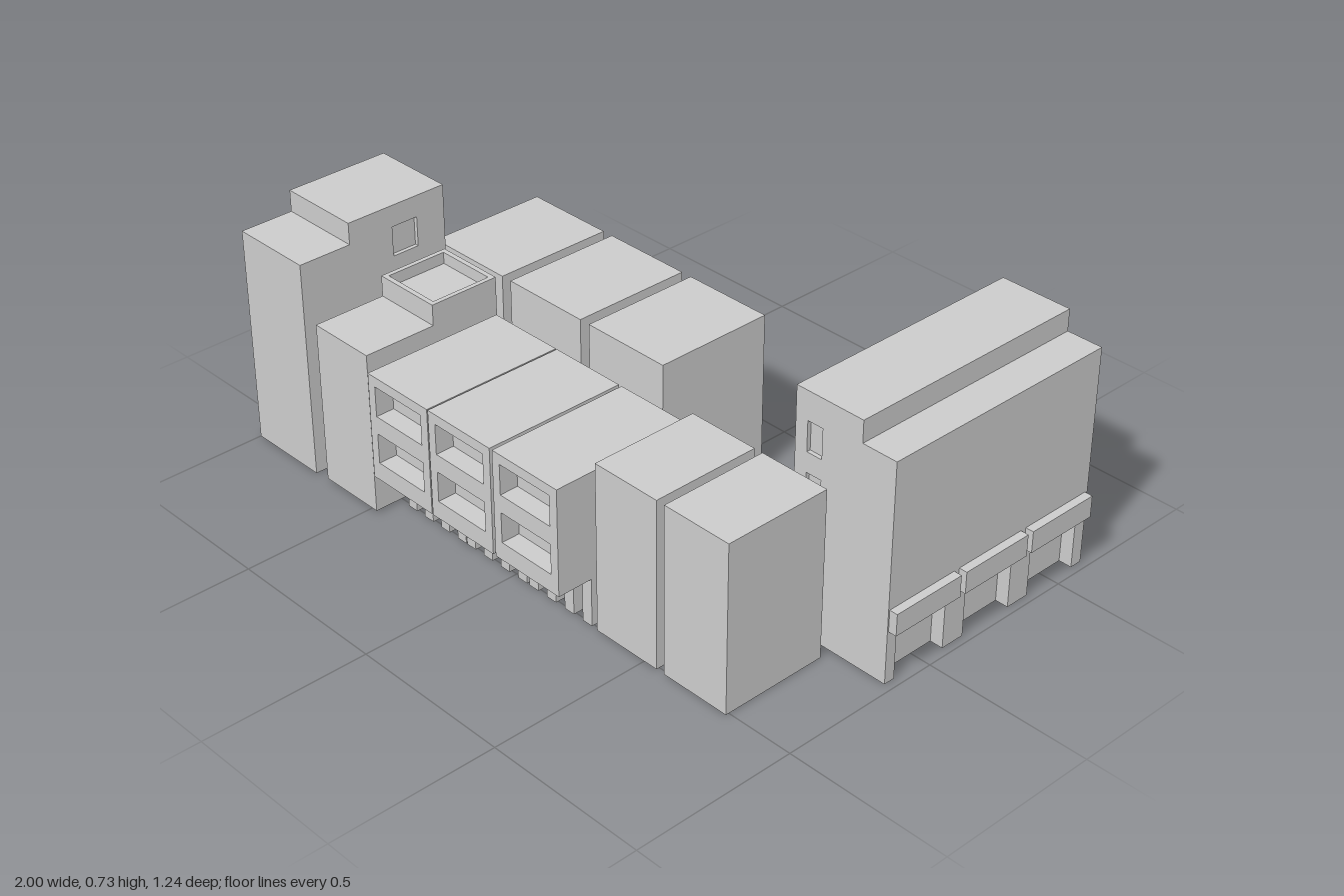
import * as THREE from 'three';

const material = new THREE.MeshStandardMaterial({ color: 0xcccccc, flatShading: true });

// Box given by its limits on each axis
function box(parent, name, [x0, x1], [y0, y1], [z0, z1]) {
  const mesh = new THREE.Mesh(new THREE.BoxGeometry(x1 - x0, y1 - y0, z1 - z0), material);
  mesh.position.set((x0 + x1) / 2, (y0 + y1) / 2, (z0 + z1) / 2);
  mesh.name = name;
  parent.add(mesh);
  return mesh;
}

// Outline with rectangular openings [a0, a1, b0, b1], extruded from d0 to d1
function slab(parent, name, points, openings, d0, d1) {
  const shape = new THREE.Shape(points.map(p => new THREE.Vector2(...p)));
  for (const [a0, a1, b0, b1] of openings) {
    shape.holes.push(new THREE.Path([[a0, b0], [a0, b1], [a1, b1], [a1, b0]].map(p => new THREE.Vector2(...p))));
  }
  const geometry = new THREE.ExtrudeGeometry(shape, { depth: d1 - d0, bevelEnabled: false });
  const mesh = new THREE.Mesh(geometry.translate(0, 0, d0), material);
  mesh.name = name;
  parent.add(mesh);
  return mesh;
}

const rect = (a0, a1, b0, b1) => [[a0, b0], [a1, b0], [a1, b1], [a0, b1]];

// Stepped block with shallow window recesses in both profile faces
function windowedBlock(name, profile, windows, d0, d1) {
  const group = new THREE.Group();
  group.name = name;
  const recess = 0.012;
  slab(group, 'core', profile, [], d0 + recess, d1 - recess);
  slab(group, 'windowWall', profile, windows, d0, d0 + recess);
  slab(group, 'windowWall', profile, windows, d1 - recess, d1);
  return group;
}

export function createModel() {
  const model = new THREE.Group();

  // Row of three plain blocks at the back
  for (const x of [-0.82, -0.5, -0.18]) {
    box(model, 'backBlock', [x, x + 0.286], [0, 0.51], [-0.3, 0.075]);
  }

  // Two plain blocks at the front
  for (const x of [0.325, 0.572]) {
    box(model, 'frontBlock', [x, x + 0.22], [0, 0.51], [0.178, 0.51]);
  }

  // Corner tower: profile drawn in z and y, then turned to run along x
  const towerProfile = [[-0.595, 0], [-0.105, 0], [-0.105, 0.725], [-0.43, 0.725], [-0.43, 0.66], [-0.595, 0.66]];
  const towerWindows = [[-0.285, -0.2, 0.38, 0.47], [-0.285, -0.2, 0.57, 0.66]];
  const tower = windowedBlock('cornerTower', towerProfile, towerWindows, -1, -0.74);
  tower.rotation.y = Math.PI / 2;
  model.add(tower);

  // Stepped block with a sunken roof
  const stepped = new THREE.Group();
  stepped.name = 'steppedBlock';
  model.add(stepped);
  box(stepped, 'body', [-0.692, -0.475], [0.005, 0.497], [0.147, 0.592]);
  box(stepped, 'upperStorey', [-0.692, -0.475], [0.497, 0.525], [0.147, 0.367]);
  const parapet = slab(stepped, 'parapet', rect(-0.692, -0.475, -0.367, -0.147),
    [[-0.678, -0.489, -0.352, -0.162]], 0.525, 0.56);
  parapet.rotation.x = -Math.PI / 2;

  // Terrace of overhanging houses with deep windows
  for (const x of [-0.44, -0.193, 0.06]) {
    const house = new THREE.Group();
    house.name = 'terraceHouse';
    house.position.x = x;
    model.add(house);
    const w = 0.243;
    box(house, 'upperFloors', [0, w], [0.147, 0.47], [0.178, 0.56]);
    slab(house, 'windowFront', rect(0, w, 0.147, 0.47),
      [[0.027, 0.215, 0.202, 0.294], [0.027, 0.215, 0.348, 0.44]], 0.56, 0.617);
    box(house, 'groundFloor', [0, w], [0, 0.147], [0.178, 0.475]);
    // Piers along the shop front
    for (let i = 0; i < 4; i++) {
      const p = i * (w - 0.035) / 3;
      box(house, 'pier', [p, p + 0.035], [0, 0.147], [0.475, 0.508]);
    }
  }

  // Long hall, set back along the ground floor of its outer side
  const hallProfile = [[0.645, 0], [0.935, 0], [0.935, 0.17], [0.975, 0.17], [0.975, 0.66],
    [0.865, 0.66], [0.865, 0.725], [0.645, 0.725]];
  const hallWindows = [[0.685, 0.735, 0.4, 0.49], [0.685, 0.735, 0.55, 0.64]];
  const hall = windowedBlock('longHall', hallProfile, hallWindows, -0.62, 0.14);
  model.add(hall);

  // Wall piers between the doorways, and an awning over each doorway
  for (const z of [[0.106, 0.14], [-0.15, -0.074], [-0.402, -0.326], [-0.62, -0.582]]) {
    box(hall, 'doorPier', [0.935, 0.975], [0, 0.17], z);
  }
  for (const z of [-0.1, -0.355, -0.61]) {
    box(hall, 'awning', [0.97, 1], [0.16, 0.226], [z, z + 0.236]);
  }

  return model;
}
